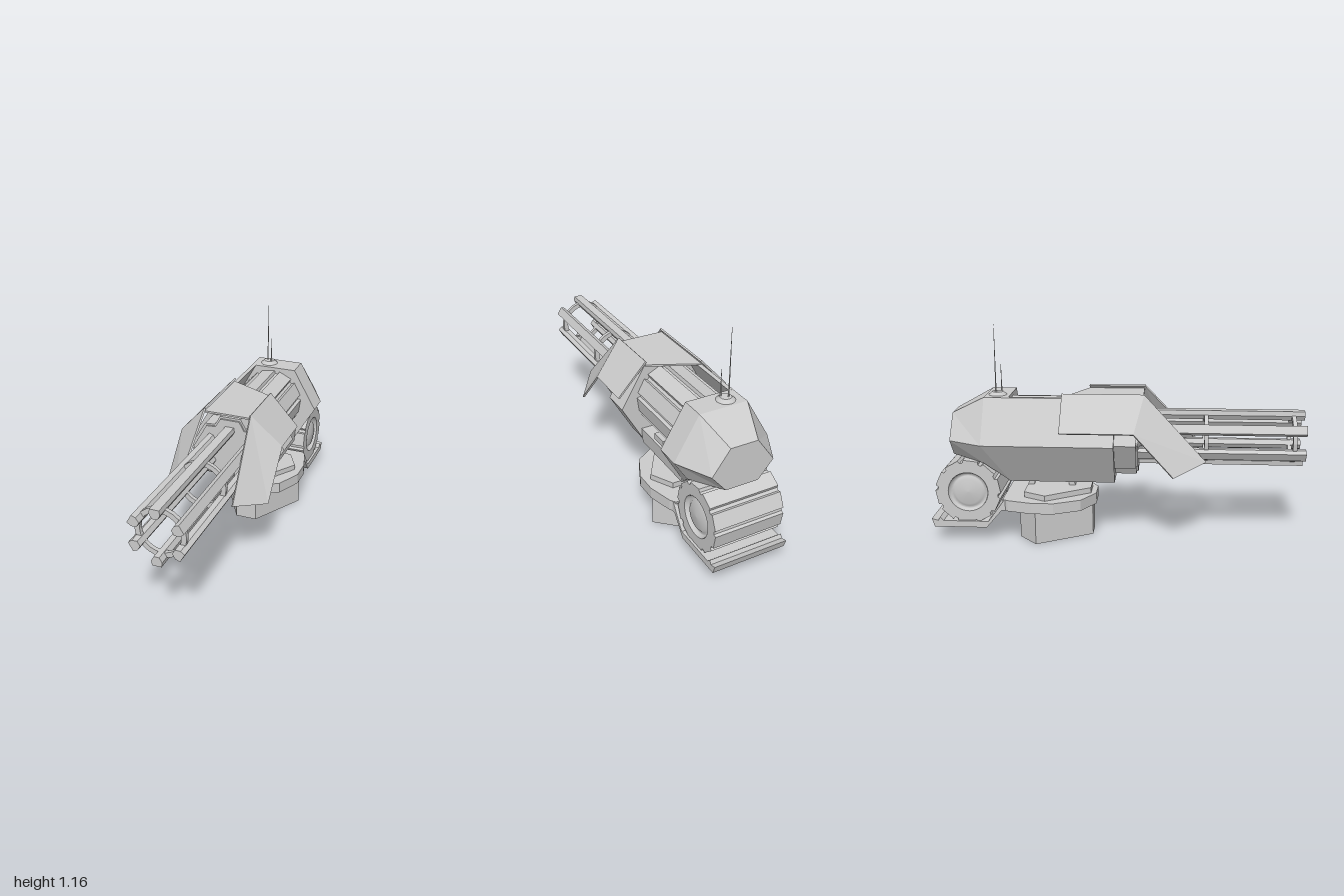
import * as THREE from 'three';

const AXIS_Y = 0.555; // height of the gun axis
const flat = new THREE.MeshStandardMaterial({ color: 0xcccccc, flatShading: true });
const smooth = new THREE.MeshStandardMaterial({ color: 0xcccccc, side: THREE.DoubleSide });

function add(parent, name, geometry, material = flat) {
  const mesh = new THREE.Mesh(geometry, material);
  mesh.name = name;
  parent.add(mesh);
  return mesh;
}

const vectors = (points) => points.map((p) => new THREE.Vector2(...p));

// Solid through rings of points; the first ring runs counter-clockwise seen from outside.
function loft(rings) {
  const pos = [], n = rings[0].length, last = rings.length - 1;
  const tri = (...pts) => pts.forEach((p) => pos.push(...p));
  for (let r = 0; r < last; r++) {
    for (let i = 0; i < n; i++) {
      const j = (i + 1) % n, a = rings[r], b = rings[r + 1];
      tri(a[i], b[i], a[j]);
      tri(a[j], b[i], b[j]);
    }
  }
  for (let i = 1; i < n - 1; i++) {
    tri(rings[0][0], rings[0][i], rings[0][i + 1]);
    tri(rings[last][0], rings[last][i + 1], rings[last][i]);
  }
  const g = new THREE.BufferGeometry();
  g.setAttribute('position', new THREE.Float32BufferAttribute(pos, 3));
  g.computeVertexNormals();
  return g;
}

// Flat armour plate with thickness, outer corners counter-clockwise.
function slab(points, t) {
  const [a, b, c] = points.map((p) => new THREE.Vector3(...p));
  const n = b.clone().sub(a).cross(c.clone().sub(a)).normalize().multiplyScalar(-t);
  return loft([points, points.map((p) => [p[0] + n.x, p[1] + n.y, p[2] + n.z])]);
}

function extrude(points, depth, holes = []) {
  const shape = new THREE.Shape(vectors(points));
  shape.holes.push(...holes);
  return new THREE.ExtrudeGeometry(shape, { depth, bevelEnabled: false, curveSegments: 24 });
}

// Full outline from the +x half, mirrored across x = 0.
const mirrored = (half) => [...half, ...half.map(([x, y]) => [-x, y]).reverse()];

// Symmetric plan outline given as [x, z] for the +x half, standing from y0 to y1.
function planPrism(half, y0, y1, inner) {
  const outline = (h) => mirrored(h.map(([x, z]) => [x, -z]));
  const holes = inner ? [new THREE.Path(vectors(outline(inner)))] : [];
  return extrude(outline(half), y1 - y0, holes).rotateX(-Math.PI / 2).translate(0, y0, 0);
}

// Side outline given as [z, y], centred across x.
function sidePrism(points, width) {
  return extrude(points, width).rotateY(-Math.PI / 2).translate(width / 2, 0, 0);
}

function hexRing(radius, z) {
  return Array.from({ length: 6 }, (_, i) => {
    const a = (i * Math.PI) / 3;
    return [radius * Math.cos(a), AXIS_Y + radius * Math.sin(a), z];
  });
}

// Outline of a drum with ten broad ribs and narrow grooves.
function ribbedOutline(outer, inner) {
  const pts = [], step = Math.PI / 5;
  for (let i = 0; i < 10; i++) {
    for (const [f, r] of [[0, outer], [0.72, outer], [0.78, inner], [0.94, inner]]) {
      pts.push([r * Math.cos((i + f) * step), r * Math.sin((i + f) * step)]);
    }
  }
  return pts;
}

function buildMount(g) {
  // Pedestal is hollow and open below
  add(g, 'pedestal', planPrism([[0.06, -0.135], [0.23, -0.43], [0.12, -0.53]], 0, 0.18,
    [[0.055, -0.143], [0.22, -0.428], [0.117, -0.522]]));
  add(g, 'turntable', planPrism(
    [[0.06, -0.115], [0.185, -0.19], [0.25, -0.33], [0.25, -0.45], [0.215, -0.58], [0.195, -0.61]], 0.18, 0.24));
  add(g, 'turntableCap', planPrism([[0.06, -0.145], [0.215, -0.38], [0.15, -0.5]], 0.24, 0.27));
  for (const s of [1, -1]) {
    const z = (d) => -0.367 + s * d;
    const pts = [[z(0.135), 0.26], [z(0.11), 0.34], [z(0.08), 0.34], [z(0.1), 0.26]];
    add(g, s > 0 ? 'frontStrut' : 'rearStrut', sidePrism(s > 0 ? pts : pts.reverse(), 0.04));
  }
}

function buildAmmoDrum(g) {
  add(g, 'drumTray', sidePrism([
    [-0.55, 0.24], [-0.6, 0.24], [-0.69, 0.115], [-0.935, 0.115], [-0.955, 0.135], [-0.965, 0.115],
    [-1, 0.125], [-0.985, 0.08], [-0.7, 0.08], [-0.615, 0.18], [-0.55, 0.18]], 0.41));
  const drum = new THREE.Group();
  drum.name = 'ammoDrum';
  drum.position.set(0, 0.277, -0.797);
  g.add(drum);
  add(drum, 'drumShell', extrude(ribbedOutline(0.178, 0.163), 0.384,
    [new THREE.Path().absarc(0, 0, 0.108, 0, Math.PI * 2, true)])
    .translate(0, 0, -0.192).rotateY(Math.PI / 2).rotateX(0.2));
  // Recessed end covers
  const profile = vectors([[0.108, 0.192], [0.1, 0.172], [0.085, 0.172], [0.07, 0.186], [0, 0.191]]);
  for (const s of [1, -1]) {
    add(drum, 'drumEndCover', new THREE.LatheGeometry(profile, 28).rotateZ(-s * Math.PI / 2), smooth);
  }
}

function buildBody(g) {
  // Front housing with raised blocks above and below
  const upper = [[0.23, 0], [0.145, 0.145], [0.088, 0.148], [0.058, 0.2]];
  const half = [...upper.map(([x, y]) => [x, -y]).reverse(), ...upper.slice(1)];
  const housing = mirrored(half);
  add(g, 'frontHousing', extrude(housing, 0.115).translate(0, AXIS_Y, -0.01));
  add(g, 'housingFace', extrude(housing.map(([x, y]) => [x * 0.92, y * 0.94]), 0.02)
    .translate(0, AXIS_Y, 0.095));
  add(g, 'collar', loft([hexRing(0.265, -0.01), hexRing(0.265, -0.16)]));
  // Hull shell with a raised floor, open on the upper left
  add(g, 'hullShell', extrude([
    [-0.1325, 0.785], [-0.265, 0.555], [-0.1325, 0.325], [0.145, 0.325], [0.152, 0.41],
    [-0.155, 0.41], [-0.235, 0.555], [-0.108, 0.785]], 0.42)
    .translate(0, 0, -0.58));
  add(g, 'feedDrum', extrude(ribbedOutline(0.178, 0.16), 0.42).rotateZ(-0.37)
    .translate(0, 0.59, -0.58));
  add(g, 'feedLatch', new THREE.BoxGeometry(0.05, 0.035, 0.09).translate(0.135, 0.455, -0.365));
  // Tapered rear hull
  const rear = (mid, top, topY, bottom, bottomY, z) => [
    [mid, AXIS_Y, z], [top, topY, z], [-top, topY, z],
    [-mid, AXIS_Y, z], [-bottom, bottomY, z], [bottom, bottomY, z]];
  add(g, 'rearHull', loft([
    hexRing(0.265, -0.575),
    rear(0.265, 0.1325, 0.785, 0.19, 0.44, -0.705),
    rear(0.17, 0.075, 0.687, 0.09, 0.46, -0.89)]));
}

function buildBarrels(g) {
  const cluster = new THREE.Group();
  cluster.name = 'barrelCluster';
  cluster.position.y = AXIS_Y;
  g.add(cluster);
  const section = [[-0.014, 0.1], [0.014, 0.1], [0.028, 0.125], [0.024, 0.15], [-0.024, 0.15], [-0.028, 0.125]];
  for (let i = 0; i < 6; i++) {
    add(cluster, 'barrel', extrude(section, 0.95).translate(0, 0, 0.05)).rotation.z = (i * Math.PI) / 3;
  }
  const band = vectors([[0.105, -0.011], [0.131, -0.011], [0.131, 0.011], [0.105, 0.011], [0.105, -0.011]]);
  for (const z of [0.475, 0.94]) {
    add(cluster, 'barrelBand', new THREE.LatheGeometry(band, 24).rotateX(Math.PI / 2).translate(0, 0, z));
  }
}

function buildShield(g) {
  add(g, 'shieldRoof', slab(
    [[-0.13, 0.79, 0.14], [0.13, 0.79, 0.14], [0.13, 0.79, -0.165], [-0.13, 0.79, -0.29]], 0.01));
  for (const s of [1, -1]) {
    const back = s > 0 ? -0.165 : -0.29;
    const side = (pts) => {
      const out = pts.map(([x, y, z]) => [s * x, y, z]);
      return slab(s > 0 ? out : out.reverse(), 0.01);
    };
    const name = s > 0 ? 'left' : 'right';
    add(g, name + 'ShieldSlope', side(
      [[0.13, 0.81, 0.145], [0.288, 0.635, 0.095], [0.288, 0.635, back], [0.13, 0.81, back]]));
    add(g, name + 'ShieldWing', side(
      [[0.13, 0.81, 0.145], [0.16, 0.457, 0.475], [0.288, 0.405, 0.303], [0.288, 0.635, 0.095]]));
  }
}

function buildAntennas(g) {
  add(g, 'antennaBase', new THREE.CylinderGeometry(0.03, 0.05, 0.018, 16).translate(-0.048, 0.793, -0.645));
  for (const [x, z, top] of [[-0.06, -0.652, 1.165], [-0.03, -0.627, 0.945]]) {
    const h = top - 0.795;
    add(g, 'antenna', new THREE.CylinderGeometry(0.001, 0.0035, h, 6).translate(x, 0.795 + h / 2, z));
    add(g, 'antennaSocket', new THREE.CylinderGeometry(0.003, 0.005, 0.05, 8).translate(x, 0.82, z));
  }
}

export function createModel() {
  const model = new THREE.Group();
  model.name = 'rotaryTurret';
  for (const build of [buildMount, buildAmmoDrum, buildBody, buildBarrels, buildShield, buildAntennas]) {
    build(model);
  }
  return model;
}
